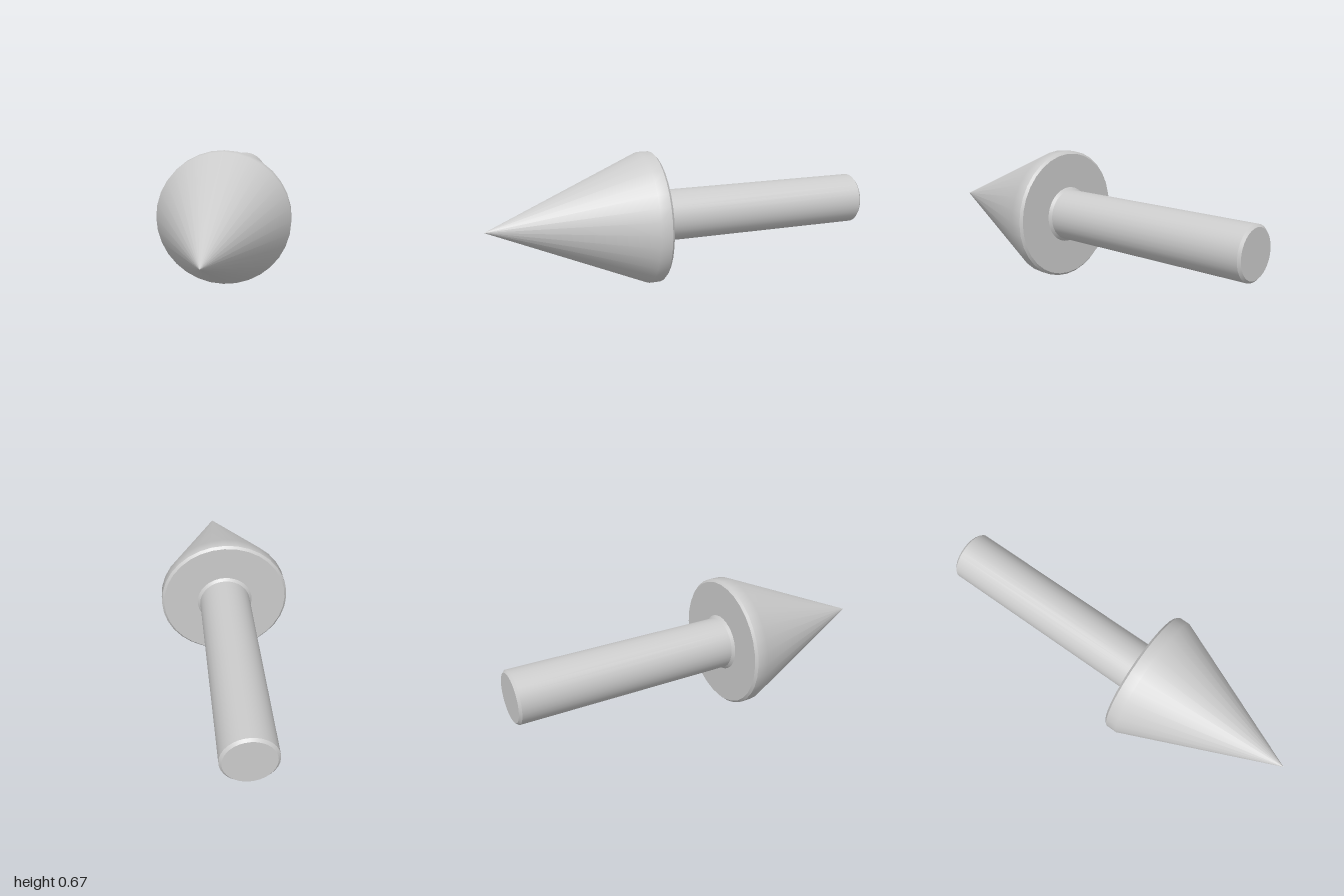
import * as THREE from 'three';
import { mergeGeometries } from 'three/addons/utils/BufferGeometryUtils.js';

const SIDES = 32;
const AXIS_HEIGHT = 0.335;

// Turns runs of [radius, z] points about the z axis: smooth within a run, sharp between runs.
function turned(name, runs, material) {
  const pieces = runs.map((run) =>
    new THREE.LatheGeometry(run.map(([r, z]) => new THREE.Vector2(r, z)), SIDES));
  const geometry = mergeGeometries(pieces);
  geometry.rotateX(Math.PI / 2);
  geometry.translate(0, AXIS_HEIGHT, 0);
  const mesh = new THREE.Mesh(geometry, material);
  mesh.name = name;
  return mesh;
}

export function createModel() {
  const group = new THREE.Group();
  group.name = 'arrow';
  const grey = new THREE.MeshStandardMaterial({ color: 0xcccccc });

  // Round shaft with a chamfered back end and a small flare where it meets the head
  group.add(turned('shaft', [
    [[0, -1], [0.12, -1]],
    [[0.12, -1], [0.132, -0.988]],
    [[0.132, -0.988], [0.132, 0.133]],
    [[0.132, 0.133], [0.145, 0.146]],
  ], grey));

  // Pointed head: flat back, chamfered edge, short rim blending into the cone
  group.add(turned('head', [
    [[0.145, 0.146], [0.323, 0.146]],
    [[0.323, 0.146], [0.335, 0.158]],
    [[0.335, 0.158], [0.335, 0.217], [0, 1]],
  ], grey));

  return group;
}
